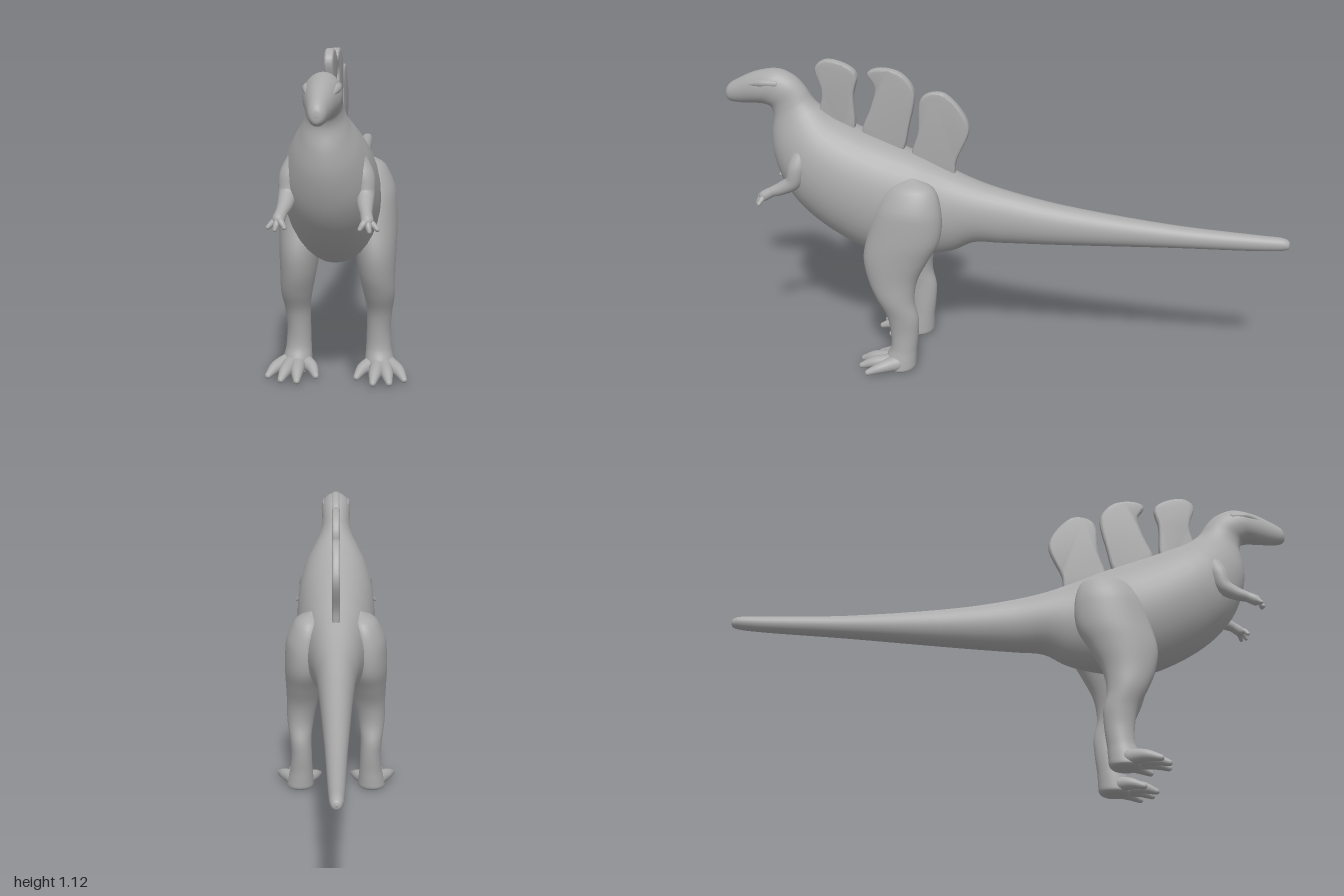
import * as THREE from 'three';
import { toCreasedNormals } from 'three/addons/utils/BufferGeometryUtils.js';

const V = (x, y, z) => new THREE.Vector3(x, y, z);
const SIDES = 32;

// Skin over rings {c, u, v}: each ring is the ellipse c + u cos(a) + v sin(a)
function skin(rings) {
  const pos = [], idx = [];
  for (const { c, u, v } of rings) {
    for (let j = 0; j < SIDES; j++) {
      const a = (j / SIDES) * Math.PI * 2;
      const p = c.clone().addScaledVector(u, Math.cos(a)).addScaledVector(v, Math.sin(a));
      pos.push(p.x, p.y, p.z);
    }
  }
  for (let i = 0; i < rings.length - 1; i++) {
    for (let j = 0; j < SIDES; j++) {
      const k = (j + 1) % SIDES, a = i * SIDES, b = a + SIDES;
      idx.push(a + j, a + k, b + j, a + k, b + k, b + j);
    }
  }
  const g = new THREE.BufferGeometry();
  g.setAttribute('position', new THREE.Float32BufferAttribute(pos, 3));
  g.setIndex(idx);
  g.computeVertexNormals();
  return g;
}

// Sections: [z, y of one edge, z, y of the opposite edge, half width, x centre]
function sectionLoft(sections, side = 1) {
  const curve = f => new THREE.CatmullRomCurve3(sections.map(f));
  const top = curve(s => V(0, s[1], s[0]));
  const bottom = curve(s => V(0, s[3], s[2]));
  const size = curve(s => V(s[4], s[5] || 0, 0));
  const n = (sections.length - 1) * 5, rings = [];
  for (let i = 0; i <= n; i++) {
    const t = top.getPoint(i / n), b = bottom.getPoint(i / n), w = size.getPoint(i / n);
    const c = t.clone().add(b).multiplyScalar(0.5);
    c.x = side * w.y;
    rings.push({ c, u: V(w.x, 0, 0), v: t.sub(b).multiplyScalar(0.5) });
  }
  return skin(rings);
}

// Round-ended limb through [x, y, z, radius] points
function limb(points, side = 1) {
  const path = new THREE.CatmullRomCurve3(points.map(p => V(p[0] * side, p[1], p[2])));
  const n = (points.length - 1) * 6, rings = [];
  const add = (t, offset, scale) => {
    const f = t * (points.length - 1), i = Math.min(Math.floor(f), points.length - 2);
    const r = THREE.MathUtils.lerp(points[i][3], points[i + 1][3], f - i);
    const d = path.getTangent(t);
    const u = V(0, 1, 0).cross(d).normalize();
    const v = d.clone().cross(u);
    rings.push({
      c: path.getPoint(t).addScaledVector(d, offset * r),
      u: u.multiplyScalar(r * scale), v: v.multiplyScalar(r * scale),
    });
  };
  for (let k = 4; k > 0; k--) add(0, -Math.sin(k * Math.PI / 8), Math.cos(k * Math.PI / 8));
  for (let i = 0; i <= n; i++) add(i / n, 0, 1);
  for (let k = 1; k <= 4; k++) add(1, Math.sin(k * Math.PI / 8), Math.cos(k * Math.PI / 8));
  return skin(rings);
}

// Upright back plate from a [z, y] outline
function backPlate(outline) {
  const pts = new THREE.CatmullRomCurve3(outline.map(p => V(p[0], p[1], 0)), true).getPoints(48);
  pts.pop();
  const shape = new THREE.Shape(pts.map(p => new THREE.Vector2(p.x, p.y)));
  const g = new THREE.ExtrudeGeometry(shape, {
    depth: 0.012, bevelEnabled: true, bevelThickness: 0.008, bevelSize: 0.008,
    bevelOffset: -0.008, bevelSegments: 3,
  });
  g.translate(0, 0, -0.006);
  g.rotateY(-Math.PI / 2);
  return toCreasedNormals(g, 0.7);
}

// Tail tip to snout
const BODY = [
  [-1, 0.561, -1, 0.559, 0.001], [-0.995, 0.573, -0.995, 0.545, 0.014],
  [-0.975, 0.582, -0.975, 0.538, 0.021], [-0.9, 0.585, -0.9, 0.53, 0.025],
  [-0.6, 0.597, -0.6, 0.515, 0.036], [-0.2, 0.64, -0.2, 0.49, 0.056],
  [0, 0.68, 0, 0.48, 0.07], [0.1, 0.708, 0.1, 0.475, 0.085],
  [0.2, 0.748, 0.18, 0.435, 0.102], [0.3, 0.792, 0.3, 0.41, 0.127],
  [0.4, 0.83, 0.45, 0.408, 0.145], [0.5, 0.868, 0.6, 0.472, 0.15],
  [0.56, 0.893, 0.72, 0.56, 0.143], [0.6, 0.91, 0.79, 0.65, 0.128],
  [0.635, 0.932, 0.83, 0.76, 0.1], [0.665, 0.955, 0.835, 0.84, 0.074],
  [0.685, 0.978, 0.825, 0.91, 0.058], [0.703, 1.008, 0.835, 0.937, 0.054],
  [0.74, 1.048, 0.852, 0.944, 0.056], [0.8, 1.074, 0.87, 0.946, 0.057],
  [0.88, 1.063, 0.905, 0.944, 0.047], [0.95, 1.032, 0.95, 0.942, 0.034],
  [0.985, 1.01, 0.985, 0.946, 0.025], [0.997, 0.994, 0.997, 0.955, 0.015],
  [1, 0.976, 1, 0.974, 0.001],
];

// Hip to sole
const LEG = [
  [0.31, 0.737, 0.3, 0.737, 0.003, 0.09], [0.385, 0.705, 0.225, 0.705, 0.052, 0.1],
  [0.43, 0.63, 0.197, 0.62, 0.076, 0.112], [0.462, 0.53, 0.203, 0.52, 0.076, 0.118],
  [0.48, 0.44, 0.245, 0.44, 0.068, 0.125], [0.467, 0.36, 0.285, 0.36, 0.06, 0.13],
  [0.438, 0.29, 0.297, 0.28, 0.052, 0.137], [0.402, 0.22, 0.283, 0.21, 0.042, 0.137],
  [0.388, 0.15, 0.285, 0.15, 0.04, 0.134], [0.388, 0.09, 0.293, 0.08, 0.043, 0.135],
  [0.405, 0.05, 0.295, 0.04, 0.049, 0.138], [0.41, 0.014, 0.298, 0.014, 0.052, 0.14],
  [0.4, 0.004, 0.31, 0.004, 0.044, 0.14], [0.355, 0.003, 0.35, 0.003, 0.003, 0.14],
];
const TOES = [[0.225, 0.455], [0.178, 0.49], [0.125, 0.497], [0.068, 0.445]];

const ARM = [
  [0.085, 0.8, 0.7, 0.034], [0.11, 0.75, 0.715, 0.034], [0.116, 0.7, 0.73, 0.029],
  [0.119, 0.674, 0.77, 0.024], [0.125, 0.658, 0.81, 0.018], [0.13, 0.644, 0.836, 0.019],
];
const FINGERS = [[0.16, 0.622, 0.848], [0.138, 0.618, 0.86], [0.11, 0.625, 0.862]];

const PLATES = [
  [[0.663, 1.09], [0.625, 1.12], [0.54, 1.1], [0.514, 1.07], [0.528, 1.0], [0.538, 0.86],
    [0.655, 0.89], [0.643, 1.0]],
  [[0.476, 1.08], [0.44, 1.1], [0.36, 1.088], [0.312, 1.03], [0.33, 0.905], [0.37, 0.79],
    [0.5, 0.85], [0.467, 0.96], [0.45, 1.03]],
  [[0.288, 1.0], [0.25, 1.025], [0.198, 1.02], [0.118, 0.91], [0.165, 0.78], [0.18, 0.71],
    [0.322, 0.77], [0.3, 0.88]],
];

export function createModel() {
  const group = new THREE.Group();
  const grey = new THREE.MeshStandardMaterial({ color: 0xaaaaaa });
  grey.name = 'grey';
  const add = (name, geometry) => {
    const mesh = new THREE.Mesh(geometry, grey);
    mesh.name = name;
    group.add(mesh);
    return mesh;
  };

  add('body', sectionLoft(BODY));
  PLATES.forEach((outline, i) => add('backPlate' + (i + 1), backPlate(outline)));

  for (const [label, s] of [['left', 1], ['right', -1]]) {
    add(label + 'Leg', sectionLoft(LEG, s));
    TOES.forEach(([x, z], i) => add(label + 'Toe' + (i + 1), limb([
      [0.14 + (x - 0.14) * 0.3, 0.034, 0.36, 0.03],
      [0.14 + (x - 0.14) * 0.75, 0.03, z - 0.045, 0.021],
      [x, 0.016, z, 0.011],
    ], s)));
    add(label + 'Arm', limb(ARM, s));
    FINGERS.forEach(([x, y, z], i) => add(label + 'Finger' + (i + 1), limb([
      [0.129, 0.645, 0.835, 0.013], [(x + 0.13) / 2, y + 0.014, z - 0.008, 0.01], [x, y, z, 0.007],
    ], s)));

    // Brow ridge above the eye
    add(label + 'Brow', limb([
      [0.04, 1.032, 0.8, 0.014], [0.042, 1.032, 0.85, 0.014], [0.033, 1.022, 0.9, 0.008],
    ], s));
  }
  return group;
}
